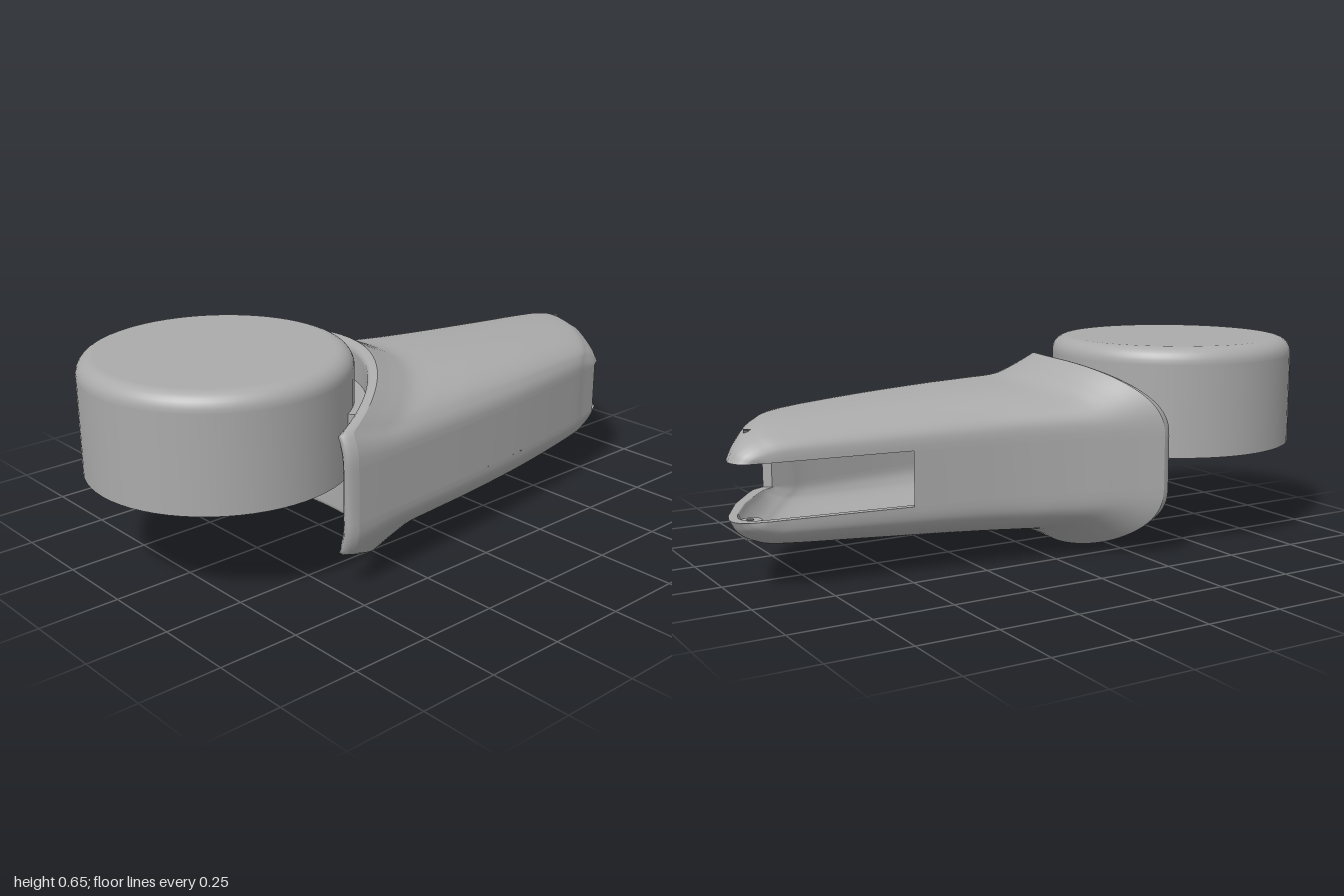
import * as THREE from 'three';

const grey = new THREE.MeshStandardMaterial({ color: 0xaaaaaa, side: THREE.DoubleSide });
grey.name = 'plain grey';
const dark = new THREE.MeshStandardMaterial({ color: 0x6a6a6a });
dark.name = 'hole grey';

const lerp = THREE.MathUtils.lerp;
const AXIS = { x: -0.04, z: 0.595 };   // centre of the round cap
const MID = 0.303;                     // mid height of the arm
const SLOT = 0.084;                    // half height of the slot
const WALL = 0.022;
const POWER = 2.5;                     // roundness of the arm section

// Arm stations, rear to front: [position, half height, low x edge, high x edge]
const stations = [
  [0, 0.084, -0.16, 0.28], [0.02, 0.13, -0.165, 0.285], [0.06, 0.165, -0.17, 0.295],
  [0.13, 0.187, -0.18, 0.315], [0.37, 0.207, -0.213, 0.365], [0.6, 0.222, -0.255, 0.397],
  [0.75, 0.23, -0.3, 0.412], [0.86, 0.238, -0.343, 0.423], [0.93, 0.265, -0.372, 0.43],
  [1, 0.303, -0.405, 0.435],
];
const spline = (i) => new THREE.CatmullRomCurve3(
  stations.map((r) => new THREE.Vector3(r[i], r[i + 1], 0)), false, 'catmullrom', 0.5);
const lengthCurve = spline(0), edgeCurve = spline(2);
const SLOT_END = 4 / 9, CAVITY_END = 7 / 9;

// Slanted rear outline: [across, z]
const rear = [[-1, -0.93], [-0.97, -0.965], [-0.91, -0.985], [-0.8, -0.997], [-0.68, -1], [-0.45, -0.985],
  [0.18, -0.915], [0.73, -0.83], [0.9, -0.8], [1, -0.76]];
function rearZ(a) {
  let i = 1;
  while (i < rear.length - 1 && a > rear[i][0]) i++;
  const [p, q] = [rear[i - 1], rear[i]];
  return lerp(p[1], q[1], (a - p[0]) / (q[0] - p[0]));
}

// Concave front that wraps round the cap
const saddleZ = (x, radius, limit) =>
  Math.min(limit, AXIS.z - Math.sqrt(Math.max(0, radius * radius - (x - AXIS.x) ** 2)));

function armPoint(u, a, y, inset) {
  const s = lengthCurve.getPoint(u).x, e = edgeCurve.getPoint(u);
  const t = (a + 1) / 2;
  const x = lerp(e.x + inset, e.y - inset, t);
  const z = lerp(rearZ(a), saddleZ(lerp(-0.405, 0.435, t), 0.47, 0.46), s) + inset * (1 - s);
  return [x, MID + y, z];
}

// Rounded half section: v from 0 to 1 gives across (-1..1) and rise (0..1)
function arch(v) {
  const c = -Math.cos(Math.PI * v), k = 2 / POWER;
  return [Math.sign(c) * Math.abs(c) ** k, Math.max(0, Math.sin(Math.PI * v)) ** k];
}
const archHeight = (u, inset) => Math.max(0, lengthCurve.getPoint(u).y - SLOT - inset);

// Surface from a rule f(u, v) with u and v from 0 to 1
function sheet(nu, nv, f) {
  const pos = [], index = [];
  for (let i = 0; i <= nu; i++) for (let j = 0; j <= nv; j++) pos.push(...f(i / nu, j / nv));
  for (let i = 0; i < nu; i++) {
    for (let j = 0; j < nv; j++) {
      const p = i * (nv + 1) + j, q = p + nv + 1;
      index.push(p, p + 1, q, q, p + 1, q + 1);
    }
  }
  const g = new THREE.BufferGeometry();
  g.setAttribute('position', new THREE.Float32BufferAttribute(pos, 3));
  g.setIndex(index);
  g.computeVertexNormals();
  return g;
}

function add(group, name, geometry, material = grey) {
  const mesh = new THREE.Mesh(geometry, material);
  mesh.name = name;
  group.add(mesh);
  return mesh;
}

function makeArm() {
  const arm = new THREE.Group();
  arm.name = 'arm';

  // Outer skin and cavity lining: upper and lower halves plus side walls
  for (const [label, inset, end] of [['outer', 0, 1], ['inner', WALL, CAVITY_END]]) {
    for (const [half, sign] of [['Upper', 1], ['Lower', -1]]) {
      add(arm, label + half + 'Shell', sheet(72, 48, (p, v) => {
        const u = p * end, [a, b] = arch(v);
        return armPoint(u, a, sign * (SLOT + archHeight(u, inset) * b), inset);
      }));
    }
    for (const [side, a, start] of [['Right', -1, SLOT_END], ['Left', 1, 0]]) {
      add(arm, label + side + 'Wall', sheet(48, 2, (p, v) =>
        armPoint(lerp(start, end, p), a, lerp(-SLOT, SLOT, v), inset)));
    }
  }

  // Cavity end wall
  add(arm, 'cavityEnd', sheet(32, 8, (p, v) => {
    const [a, b] = arch(p);
    return armPoint(CAVITY_END, a, lerp(-1, 1, v) * (SLOT + archHeight(CAVITY_END, WALL) * b), WALL);
  }));

  // Edges of the slot
  for (const y of [-SLOT, SLOT]) {
    add(arm, 'slotSideEdge', sheet(32, 1, (p, v) => armPoint(p * SLOT_END, -1, y, v * WALL)));
    add(arm, 'slotRearEdge', sheet(48, 1, (p, v) => armPoint(0, arch(p)[0], y, v * WALL)));
  }
  for (const [a, u] of [[-1, SLOT_END], [1, 0]]) {
    add(arm, 'slotEnd', sheet(1, 1, (p, v) => armPoint(u, a, lerp(-SLOT, SLOT, p), v * WALL)));
  }

  // Rounded lip and concave saddle face: [scale, radius, z limit]
  const rings = [[1, 0.47, 0.46], [0.995, 0.462, 0.478], [0.98, 0.449, 0.495], [0.955, 0.441, 0.5],
    [0.92, 0.44, 0.49], [0.8, 0.44, 0.49], [0.6, 0.44, 0.49], [0.4, 0.44, 0.49], [0.2, 0.44, 0.49],
    [0, 0.44, 0.49]];
  const outline = [];
  for (const sign of [1, -1]) {
    for (let i = 0; i <= 48; i++) {
      const [a, b] = arch(sign > 0 ? i / 48 : 1 - i / 48);
      outline.push([a, sign * (SLOT + (MID - SLOT) * b)]);
    }
  }
  outline.push(outline[0]);
  add(arm, 'saddleFace', sheet(rings.length - 1, outline.length - 1, (p, v) => {
    const [scale, radius, limit] = rings[Math.round(p * (rings.length - 1))];
    const [a, y] = outline[Math.round(v * (outline.length - 1))];
    const x = 0.015 + 0.42 * a * scale;
    return [x, MID + y * scale, saddleZ(x, radius, limit)];
  }));

  // Pin bosses inside the fork, with small pin holes
  for (const sign of [1, -1]) {
    add(arm, 'pinBoss', new THREE.CylinderGeometry(0.03, 0.03, 0.03, 24))
      .position.set(-0.04, MID + sign * 0.118, -0.915);
    add(arm, 'pinHole', new THREE.CylinderGeometry(0.011, 0.011, 0.062, 16), dark)
      .position.set(-0.04, MID + sign * 0.132, -0.92);
  }
  return arm;
}

function makeCap() {
  const cap = new THREE.Group();
  cap.name = 'cap';
  cap.position.set(AXIS.x, 0.305, AXIS.z);
  const R = 0.403, H = 0.35, F = 0.05, T = 0.016;

  // Outer wall with a rounded top edge
  const outer = [[R, 0], [R, H - F - 0.004]];
  for (let i = 0; i <= 8; i++) {
    const t = (i / 8) * Math.PI / 2;
    outer.push([R - F + F * Math.cos(t), H - F + F * Math.sin(t)]);
  }
  outer.push([R - F - 0.004, H], [0, H]);
  const profiles = {
    capShell: outer,
    capInnerWall: [[R - T, 0], [R - T, H - 0.03]],
    capCeiling: [[R - T, H - 0.03], [0, H - 0.03]],
    capRim: [[R - T, 0], [R, 0]],
  };
  for (const [name, points] of Object.entries(profiles)) {
    add(cap, name, new THREE.LatheGeometry(points.map((p) => new THREE.Vector2(...p)), 64));
  }
  return cap;
}

// Curved web joining the cap to the saddle
function makeWeb() {
  const shape = new THREE.Shape();
  shape.absarc(0, 0, 0.45, -2.18, -0.54, false);
  shape.absarc(0, 0, 0.398, -0.54, -2.18, true);
  const g = new THREE.ExtrudeGeometry(shape, { depth: 0.2, bevelEnabled: false, curveSegments: 32 });
  g.rotateX(Math.PI / 2);
  return g;
}

export function createModel() {
  const model = new THREE.Group();
  model.name = 'cappedArm';
  model.add(makeArm(), makeCap());
  add(model, 'joiningWeb', makeWeb()).position.set(AXIS.x, 0.497, AXIS.z);
  return model;
}
